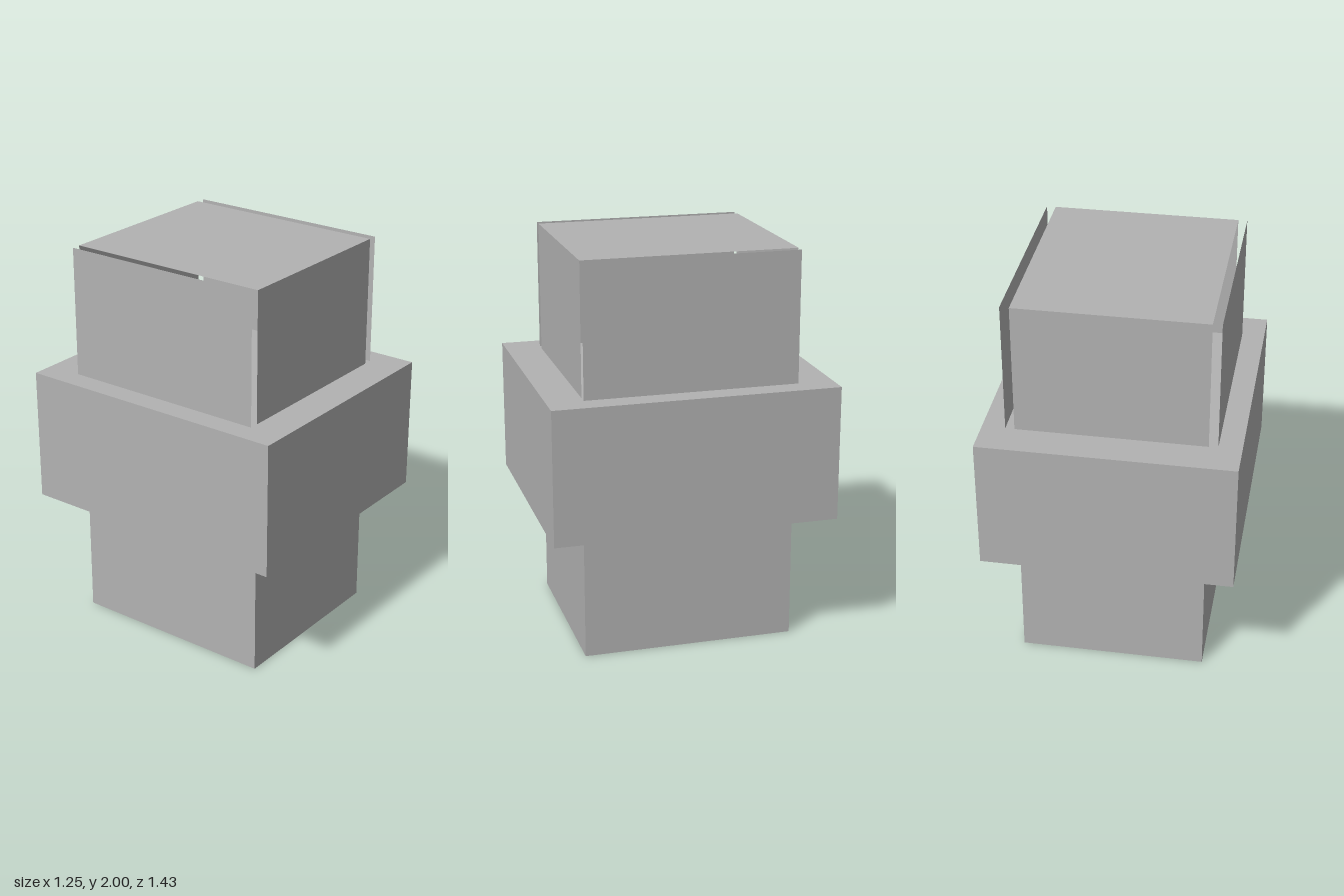
import * as THREE from 'three';

export function createModel() {
  const model = new THREE.Group();
  const grey = new THREE.MeshStandardMaterial({ color: 0xb2b2b2, side: THREE.DoubleSide });
  grey.name = 'plainGrey';

  const W = 0.935, D = 1.07;      // footprint of the base and upper box
  const low = 0.66, mid = 1.34, top = 2;
  const gap = 0.045;              // how far the side panels stand off

  const add = (name, geometry, x, y, z, parent = model) => {
    const mesh = new THREE.Mesh(geometry, grey);
    mesh.name = name;
    mesh.position.set(x, y, z);
    parent.add(mesh);
    return mesh;
  };

  // Solid base and the wider middle block
  add('base', new THREE.BoxGeometry(W, low, D), 0, low / 2, 0);
  add('middleBlock', new THREE.BoxGeometry(1.255, mid - low, 1.43), 0, (low + mid) / 2, 0);

  // Upper box of thin panels, open at the corners
  const upper = new THREE.Group();
  upper.name = 'upperBox';
  model.add(upper);
  const h = top - mid, y = (mid + top) / 2;
  add('topPanel', new THREE.PlaneGeometry(W, D), 0, top, 0, upper).rotation.x = -Math.PI / 2;
  for (const s of [1, -1]) {
    add(s > 0 ? 'frontPanel' : 'backPanel', new THREE.PlaneGeometry(W, h), 0, y, s * D / 2, upper)
      .rotation.y = s > 0 ? 0 : Math.PI;
    add(s > 0 ? 'leftPanel' : 'rightPanel', new THREE.PlaneGeometry(D, h), s * (W / 2 + gap), y, 0, upper)
      .rotation.y = s * Math.PI / 2;
  }
  return model;
}
